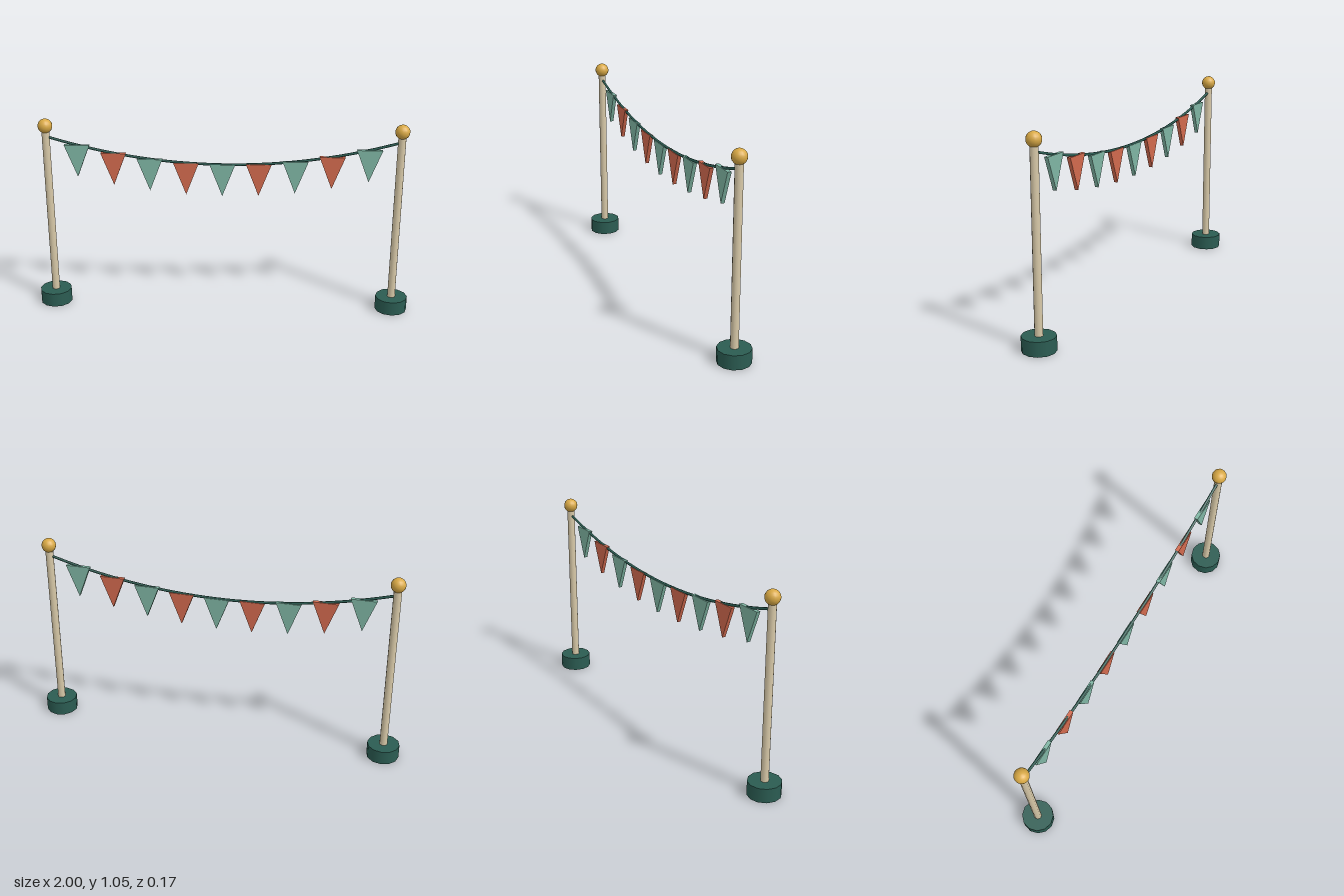
import * as THREE from 'three';

const POST_X = 0.915;
const ropeY = (x) => 0.814 + 0.164 * x * x;

function material(name, color) {
  const m = new THREE.MeshStandardMaterial({ color });
  m.name = name;
  return m;
}

export function createModel() {
  const green = material('darkGreen', 0x2b5c52);
  const cream = material('cream', 0xd8c9a8);
  const gold = material('gold', 0xd9a945);
  const teal = material('teal', 0x7fb5a3);
  const coral = material('coral', 0xd26a4e);

  const model = new THREE.Group();
  model.name = 'buntingStand';

  function add(parent, name, geometry, mat, x, y) {
    const mesh = new THREE.Mesh(geometry, mat);
    mesh.name = name;
    mesh.position.set(x, y, 0);
    parent.add(mesh);
  }

  // Two posts: weighted foot, pole and ball finial
  const footGeo = new THREE.CylinderGeometry(0.085, 0.085, 0.075, 12);
  const poleGeo = new THREE.CylinderGeometry(0.0205, 0.0205, 0.92, 12);
  const ballGeo = new THREE.SphereGeometry(0.038, 16, 12);
  for (const side of [-1, 1]) {
    const post = new THREE.Group();
    post.name = side > 0 ? 'leftPost' : 'rightPost';
    post.position.x = side * POST_X;
    add(post, 'foot', footGeo, green, 0, 0.0375);
    add(post, 'pole', poleGeo, cream, 0, 0.525);
    add(post, 'finial', ballGeo, gold, 0, 1.008);
    model.add(post);
  }

  // Sagging rope between the posts
  const points = [];
  for (let i = 0; i <= 16; i++) {
    const x = POST_X * (i / 8 - 1);
    points.push(new THREE.Vector3(x, ropeY(x), 0));
  }
  const rope = new THREE.CatmullRomCurve3(points);
  add(model, 'rope', new THREE.TubeGeometry(rope, 40, 0.007, 6), green, 0, 0);

  // Triangular pennants in alternating colours
  const thickness = 0.02;
  const triangle = new THREE.Shape();
  triangle.moveTo(-0.066, 0);
  triangle.lineTo(0, -0.172);
  triangle.lineTo(0.066, 0);
  triangle.closePath();
  const flagGeo = new THREE.ExtrudeGeometry(triangle, { depth: thickness, bevelEnabled: false });
  flagGeo.translate(0, 0, -thickness / 2);
  for (let i = 0; i < 9; i++) {
    const x = (i - 4) * 0.189;
    add(model, 'pennant' + (i + 1), flagGeo, i % 2 ? coral : teal, x, ropeY(x));
  }

  return model;
}
